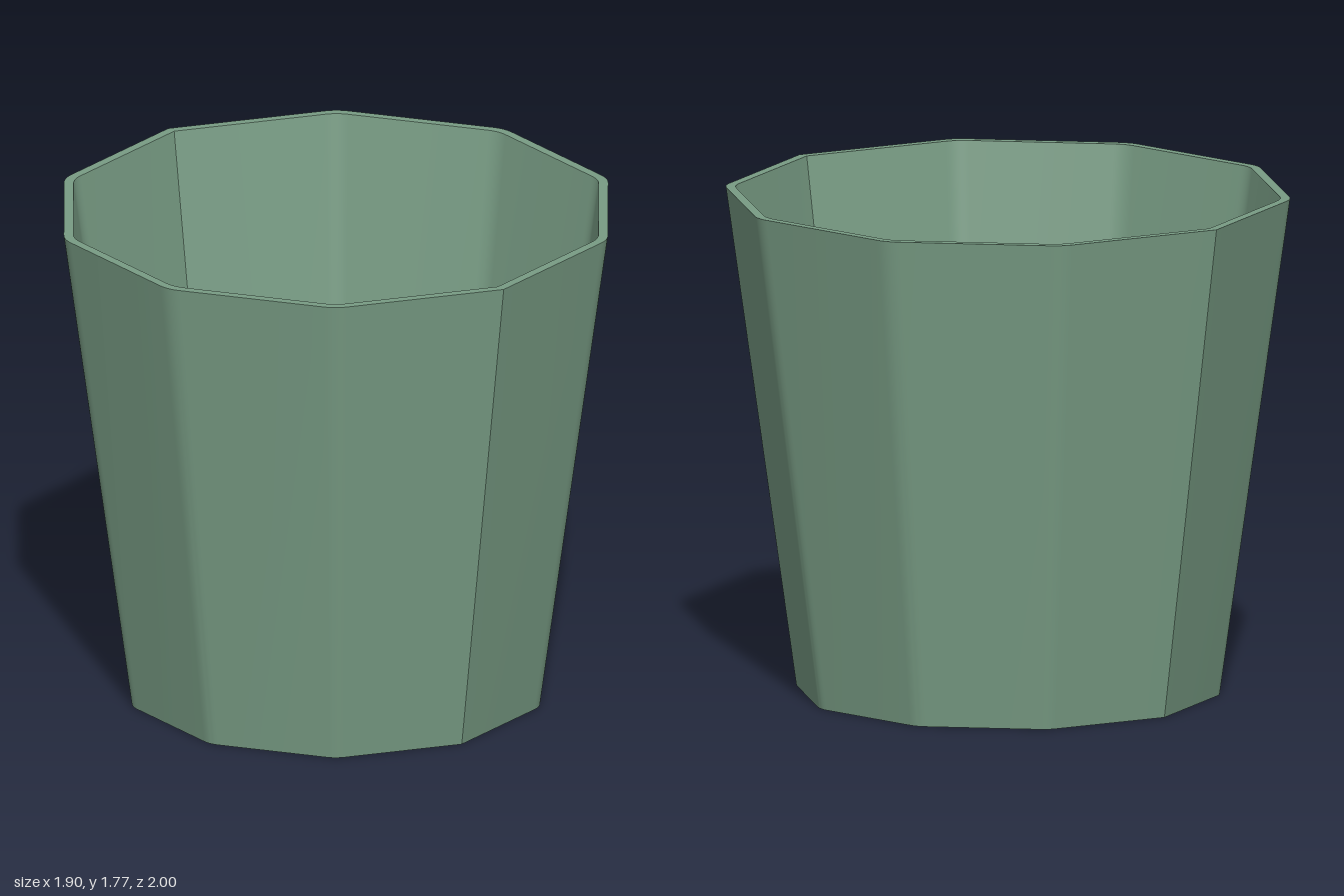
import * as THREE from 'three';
import { toCreasedNormals } from 'three/addons/utils/BufferGeometryUtils.js';

const SIDES = 10, HEIGHT = 1.77, FLOOR = 0.035, HOLE = 0.085;
const OUTER_BASE = 0.75, OUTER_TOP = 1, INNER_BASE = 0.72, INNER_TOP = 0.965;

// Unit decagon with corners on the z axis; all but the front and back corners are slightly rounded.
function decagon() {
  const corner = (k) => new THREE.Vector2(Math.sin(k * Math.PI * 2 / SIDES), Math.cos(k * Math.PI * 2 / SIDES));
  const points = [];
  for (let k = 0; k < SIDES; k++) {
    const c = corner(k);
    if (k % (SIDES / 2) === 0) { points.push(c); continue; }
    const from = c.clone().lerp(corner(k - 1), 0.07);
    const to = c.clone().lerp(corner(k + 1), 0.07);
    points.push(...new THREE.QuadraticBezierCurve(from, c, to).getPoints(6));
  }
  return points;
}

// Skin through closed rings given as [scale, y].
function skin(outline, rings) {
  const n = outline.length, position = [], index = [];
  for (const [s, y] of rings) for (const p of outline) position.push(p.x * s, y, p.y * s);
  for (let r = 0; r < rings.length - 1; r++) {
    for (let i = 0; i < n; i++) {
      const j = (i + 1) % n, a = r * n + i, b = r * n + j;
      index.push(a, b, b + n, a, b + n, a + n);
    }
  }
  const geometry = new THREE.BufferGeometry();
  geometry.setAttribute('position', new THREE.Float32BufferAttribute(position, 3));
  geometry.setIndex(index);
  return toCreasedNormals(geometry, 0.3);
}

export function createModel() {
  const pot = new THREE.Group();
  pot.name = 'planterPot';
  const green = new THREE.MeshStandardMaterial({ color: 0x789c84 });
  green.name = 'sageGreen';
  const add = (name, geometry) => {
    const mesh = new THREE.Mesh(geometry, green);
    mesh.name = name;
    pot.add(mesh);
    return mesh;
  };
  const outline = decagon();

  // Tapered wall: outside, rim, inside
  add('wall', skin(outline, [
    [OUTER_BASE, 0], [OUTER_TOP, HEIGHT], [INNER_TOP, HEIGHT], [INNER_BASE, FLOOR],
  ]));

  // Floor faces with the drain hole cut through
  const plate = (scale) => {
    const shape = new THREE.Shape(outline.map((p) => p.clone().multiplyScalar(scale)));
    shape.holes.push(new THREE.Path().absarc(0, 0, HOLE, 0, Math.PI * 2, true));
    return new THREE.ShapeGeometry(shape, 24);
  };
  add('floor', plate(INNER_BASE).rotateX(-Math.PI / 2)).position.y = FLOOR;
  add('underside', plate(OUTER_BASE).rotateX(Math.PI / 2));

  // Drain hole wall, facing inward
  const circle = Array.from({ length: 48 }, (_, i) =>
    new THREE.Vector2(Math.sin(i * Math.PI / 24), Math.cos(i * Math.PI / 24)));
  add('drainHole', skin(circle, [[HOLE, FLOOR], [HOLE, 0]]));

  return pot;
}
